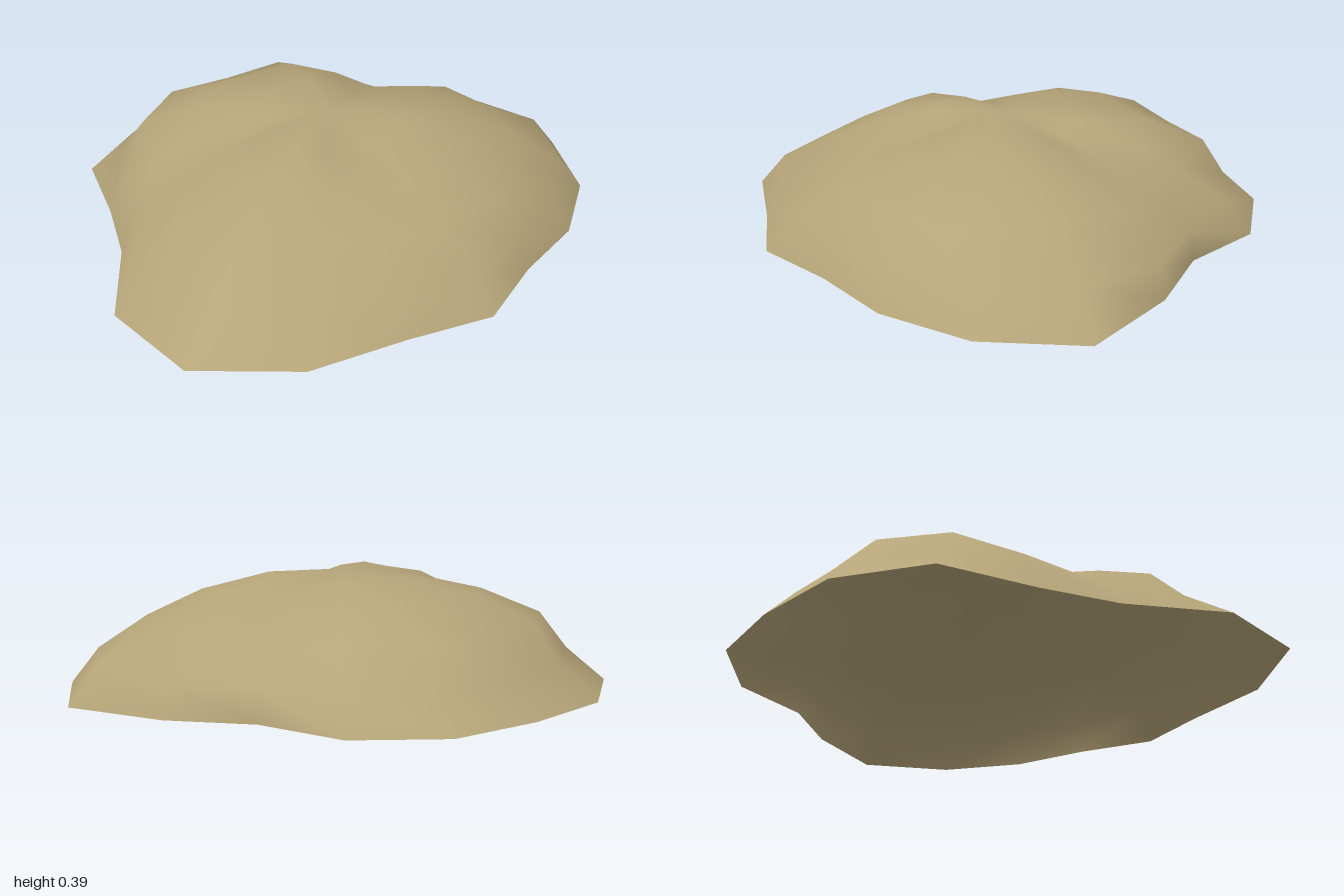
import * as THREE from 'three';
import { mergeVertices } from 'three/addons/utils/BufferGeometryUtils.js';

// Swell of the mound every 20 degrees, counted from +x towards +z
const RIM = [0.89, 1.045, 0.987, 0.9, 0.825, 0.897, 0.878, 0.998, 1.085, 1.0, 0.81, 0.816, 0.967, 0.985, 0.945, 0.959, 0.909, 0.784];
const LOWER = [0.915, 0.985, 0.935, 0.86, 0.82, 0.85, 0.81, 0.935, 0.925, 0.875, 0.77, 0.81, 0.87, 0.89, 0.88, 0.873, 0.86, 0.81];
const SHOULDER = [0.865, 0.88, 0.88, 0.82, 0.83, 0.8, 0.78, 0.82, 0.85, 0.88, 0.73, 0.79, 0.9, 0.93, 0.88, 0.92, 0.8, 0.74];
const CROWN = [0.8, 0.85, 0.87, 0.84, 0.8, 0.76, 0.75, 0.83, 0.86, 0.84, 0.77, 0.8, 0.85, 0.87, 0.87, 0.88, 0.85, 0.77];
const UPPER = CROWN.map((s, k) => (s + SHOULDER[k]) / 2);
const TOP = CROWN.map(() => 0.84);

// Rings from the top down to the rim: radius, height and swell
const RINGS = [
  { radius: 0, height: 0.458, swell: TOP },
  { radius: 0.309, height: 0.438, swell: CROWN },
  { radius: 0.588, height: 0.372, swell: UPPER },
  { radius: 0.809, height: 0.27, swell: SHOULDER },
  { radius: 0.951, height: 0.132, swell: LOWER },
  { radius: 1, height: 0, swell: RIM },
];
const SIDES = 18;
const CENTRE = { x: 0.02, z: 0.04 };

export function createModel() {
  const group = new THREE.Group();
  group.name = 'mound';

  const sand = new THREE.MeshStandardMaterial({ color: 0xb5a478, side: THREE.DoubleSide });
  sand.name = 'sand';

  // Open half dome, swelling into ridges and sinking into valleys
  const dome = new THREE.SphereGeometry(1, SIDES, RINGS.length - 1, 0, Math.PI * 2, 0, Math.PI / 2);
  const pos = dome.attributes.position;
  for (let i = 0; i < pos.count; i++) {
    const { radius, height, swell } = RINGS[Math.floor(i / (SIDES + 1))];
    const k = (SIDES * 1.5 - (i % (SIDES + 1))) % SIDES;
    const angle = (k / SIDES) * Math.PI * 2;
    const r = radius * swell[k];
    pos.setXYZ(i, CENTRE.x + r * Math.cos(angle), height * swell[k], CENTRE.z + r * Math.sin(angle));
  }

  // Weld the seam and the top so the shading is smooth
  dome.deleteAttribute('uv');
  dome.deleteAttribute('normal');
  const shell = mergeVertices(dome, 1e-4);
  shell.computeVertexNormals();

  const mesh = new THREE.Mesh(shell, sand);
  mesh.name = 'moundShell';
  group.add(mesh);
  return group;
}
